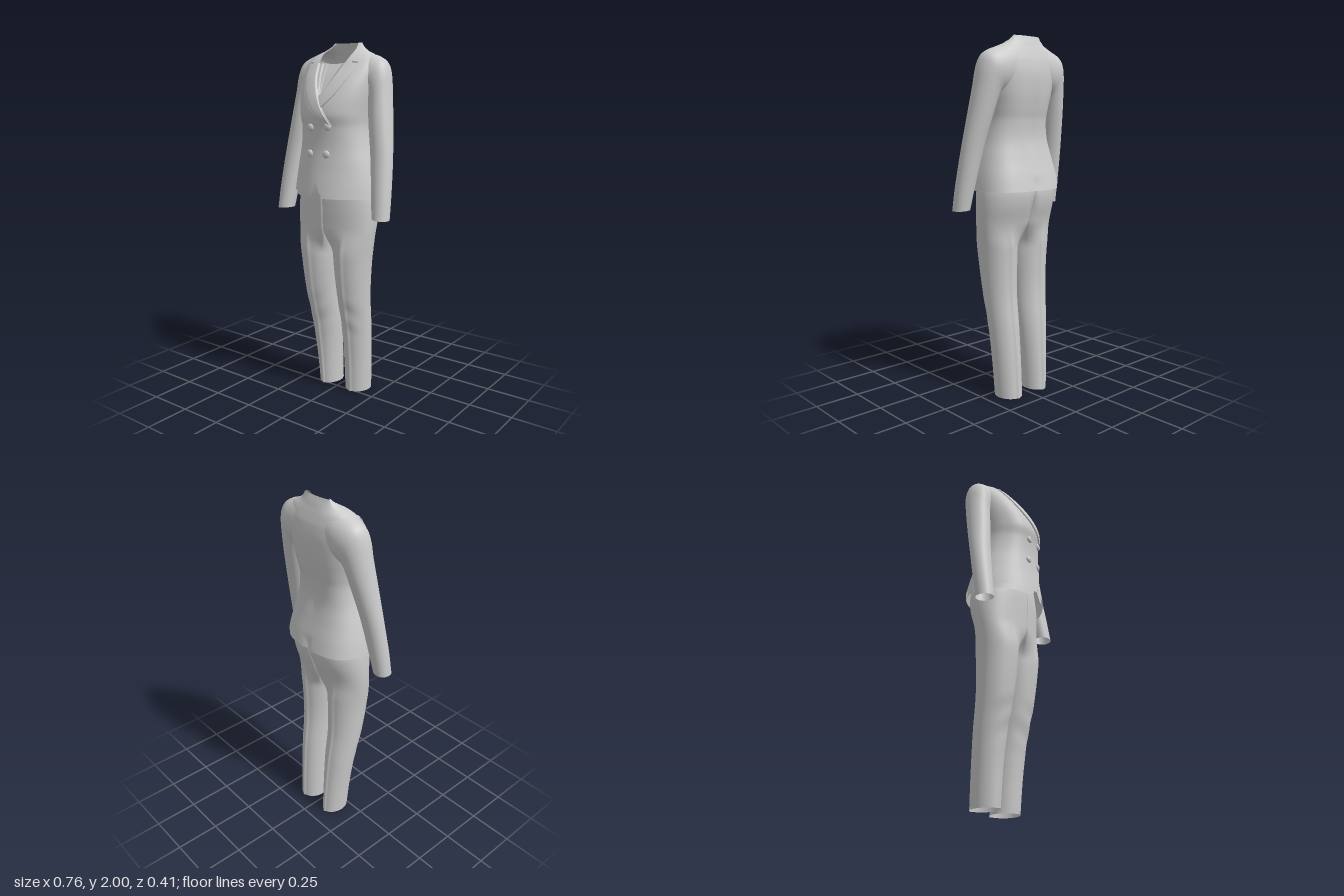
import * as THREE from 'three';

const mat = new THREE.MeshStandardMaterial({ color: 0xcccccc, roughness: 0.8, side: THREE.DoubleSide });
const { min, max, abs, sign, sin, cos, PI, exp } = Math;
const pw = (v, n) => sign(v) * abs(v) ** (2 / n);
const step = THREE.MathUtils.smoothstep;
const mix = THREE.MathUtils.lerp;

// Smooth lookup in a table of rows [key, a, b, ...]
function row(table, y) {
  const last = table.length - 1;
  const above = table.findIndex(r => r[0] > y);
  const i = above < 0 ? last - 1 : max(0, above - 1);
  const p = table[i], q = table[i + 1], h = q[0] - p[0];
  const t = max(0, min(1, (y - p[0]) / h));
  const slope = (k, c) => {
    const a = table[max(0, k - 1)], b = table[min(last, k + 1)];
    return (b[c] - a[c]) / (b[0] - a[0]);
  };
  return p.slice(1).map((v, k) => {
    const c = k + 1, t2 = t * t, t3 = t2 * t;
    return v * (2 * t3 - 3 * t2 + 1) + q[c] * (3 * t2 - 2 * t3)
      + h * (slope(i, c) * (t3 - 2 * t2 + t) + slope(i + 1, c) * (t3 - t2));
  });
}

// Grid surface from a rule f(u, v) -> [x, y, z]
function surface(name, nu, nv, f) {
  const pos = [], idx = [];
  for (let j = 0; j <= nv; j++) for (let i = 0; i <= nu; i++) pos.push(...f(i / nu, j / nv));
  for (let j = 0; j < nv; j++) for (let i = 0; i < nu; i++) {
    const a = j * (nu + 1) + i, b = a + nu + 1;
    idx.push(a, a + 1, b, a + 1, b + 1, b);
  }
  const g = new THREE.BufferGeometry();
  g.setAttribute('position', new THREE.Float32BufferAttribute(pos, 3));
  g.setIndex(idx);
  g.computeVertexNormals();
  const m = new THREE.Mesh(g, mat);
  m.name = name;
  return m;
}

// Torso: y, half width, front z, back z
const TORSO = [
  [1.165, 0.262, 0.205, -0.207], [1.25, 0.25, 0.193, -0.187], [1.35, 0.228, 0.178, -0.16],
  [1.45, 0.202, 0.168, -0.142], [1.55, 0.188, 0.172, -0.146], [1.62, 0.195, 0.184, -0.16],
  [1.7, 0.208, 0.165, -0.172], [1.8, 0.22, 0.112, -0.176], [1.87, 0.225, 0.06, -0.166],
  [1.91, 0.215, 0.026, -0.153], [1.932, 0.195, 0.002, -0.145], [1.95, 0.155, -0.022, -0.138],
  [1.965, 0.125, -0.045, -0.133], [1.98, 0.104, -0.068, -0.127], [2.0, 0.088, -0.092, -0.118]];
// Front edge of the panel: y, how far it crosses the centre line
const EDGE = [
  [1.165, -0.045], [1.2, -0.026], [1.25, 0.002], [1.32, 0.052], [1.4, 0.085], [1.5, 0.092], [1.56, 0.085],
  [1.67, 0.022], [1.8, -0.05], [1.9, -0.085], [1.95, -0.09], [2.0, -0.072]];
// Outer edge of the lapel
const LAPEL = [[1.56, 0.084], [1.6, 0.035], [1.64, -0.013], [1.72, -0.087], [1.81, -0.135], [1.89, -0.156]];
// Sleeve rings from cuff to neck: key, armpit x and y, outer x and y, back z, front z
const SLEEVE = [
  [0, 0.283, 1.072, 0.378, 1.065, 0.005, 0.105], [0.15, 0.265, 1.2, 0.373, 1.2, -0.02, 0.087],
  [0.32, 0.235, 1.4, 0.357, 1.4, -0.06, 0.057], [0.47, 0.203, 1.57, 0.33, 1.6, -0.104, 0.036],
  [0.58, 0.188, 1.65, 0.309, 1.75, -0.13, 0.02], [0.66, 0.183, 1.675, 0.296, 1.835, -0.142, 0.016],
  [0.74, 0.176, 1.69, 0.273, 1.893, -0.152, 0.014], [0.82, 0.165, 1.7, 0.23, 1.922, -0.16, 0.014],
  [0.91, 0.14, 1.71, 0.17, 1.942, -0.164, 0.014], [1, 0.1, 1.72, 0.115, 1.96, -0.162, 0.012]];
// Trouser legs: y, inner x, outer x, back z, front z
const HIPS = [[1.1, 0, 0.251, -0.175, 0.137], [1.18, 0, 0.246, -0.182, 0.138], [1.28, 0, 0.222, -0.155, 0.13]];
const LEGS = {
  right: [
    [0, 0.03, 0.156, -0.165, 0.015], [0.2, 0.024, 0.172, -0.155, 0.03], [0.4, 0.015, 0.192, -0.14, 0.056],
    [0.6, 0.012, 0.21, -0.12, 0.1], [0.8, 0.003, 0.226, -0.12, 0.127], [0.92, 0, 0.24, -0.128, 0.132],
    [1.0, 0, 0.248, -0.145, 0.133], ...HIPS],
  left: [
    [0, 0.03, 0.178, -0.165, 0.015], [0.2, 0.028, 0.187, -0.155, 0.03], [0.4, 0.025, 0.196, -0.14, 0.056],
    [0.6, 0.018, 0.206, -0.12, 0.1], [0.8, 0.006, 0.222, -0.12, 0.127], [0.92, 0, 0.237, -0.128, 0.132],
    [1.0, 0, 0.246, -0.145, 0.133], ...HIPS]
};

// Roundness of the torso outline: pointed in front at the hem, fuller at chest and back
const frontN = y => 1.85 + 0.3 * step(y, 1.25, 1.6) + 0.3 * step(y, 1.65, 1.8) - 0.25 * step(y, 1.9, 1.96);
const backN = y => 2.8 - 0.6 * step(y, 1.9, 1.97);
function frontZ(x, y) {
  const [hw, zf, zb] = row(TORSO, y), n = frontN(y);
  const k = min(0.98, abs(x) / hw);
  return (zf + zb) / 2 + (zf - zb) / 2 * (1 - k ** n) ** (1 / n);
}

// Half of the torso shell, from the front edge round to the centre back
function panel(name, s, y0, y1, off, lap) {
  return surface(name, 60, 90, (u, v) => {
    const y = y0 + (y1 - y0) * v;
    const [hw, zf, zb] = row(TORSO, y);
    const e = -row(EDGE, y)[0] / hw;
    const a0 = Math.asin(max(-1, min(1, sign(e) * abs(e) ** (frontN(y) / 2))));
    const a = a0 + (PI - a0) * u;
    const n = a < PI / 2 ? frontN(y) : backN(y);
    const grow = off + lap * (1 - step(a, 0.5, 1.2));
    const x = (hw + grow) * pw(sin(a), n);
    // Seam and hollow down the middle of the back
    const vent = 0.008 * exp(-((x / 0.01) ** 2)) * (1 - step(y, 1.2, 1.26));
    const spine = 0.006 * exp(-((x / 0.04) ** 2)) * step(y, 1.3, 1.5) * (1 - step(y, 1.6, 1.8));
    return [s * x, y, (zf + zb) / 2 + ((zf - zb) / 2 + grow) * pw(cos(a), n) + (a > 2 ? vent + spine : 0)];
  });
}

// Raised strip lying on the chest, between two x edges that depend on y
function strip(name, s, y0, y1, xa, xb, lift) {
  return surface(name, 14, 40, (u, v) => {
    const y = y0 + (y1 - y0) * v;
    const k = max(0, min(1, (u * 14 - 1) / 12));
    const x = xa(y) + (xb(y) - xa(y)) * k;
    return [s * x, y, frontZ(x, y) + (u === 0 || u === 1 ? 0 : lift)];
  });
}

// Sleeve tube that turns over the shoulder into the neck
function sleeve(s) {
  return surface(s > 0 ? 'leftSleeve' : 'rightSleeve', 44, 70, (u, v) => {
    const [xi, yi, xo, yo, zb, zf] = row(SLEEVE, v);
    const t = PI + u * 2 * PI;
    const k = (1 + cos(t)) / 2;
    return [s * (xi + (xo - xi) * k), yi + (yo - yi) * k, (zf + zb) / 2 + (zf - zb) / 2 * pw(sin(t), 2.15)];
  });
}

// Trouser leg that widens into half of the hips
function leg(name, s, table) {
  return surface(name, 96, 90, (u, v) => {
    const y = 1.28 * v;
    const [xi, xo, zb, zf] = row(table, y);
    const zc = (zf + zb) / 2, rz = (zf - zb) / 2;
    const hip = step(y, 0.84, 1.0);
    // Leg outline with pressed creases and soft knee folds
    const t = PI + u * 2 * PI, c = cos(t), d = sin(t), n = 1.92;
    const crease = 0.007 * exp(-((c / 0.12) ** 2));
    const fold = d > 0 ? 0.0025 * d * sin(y * 44 + c * 3) * exp(-(((y - 0.47) / 0.12) ** 2)) : 0;
    const legX = (xi + xo) / 2 + (xo - xi) / 2 * pw(c, n);
    const legZ = (rz - 0.004 + crease) * pw(d, n) + fold;
    // Half of the hip outline, closed by a flat wall on the centre plane
    const q = 1 / 8, wall = u < q || u > 1 - q;
    const f = max(0, min(1, (u - q) / (1 - 2 * q))) * PI;
    const hipX = wall ? 0 : xo * pw(sin(f), 2.2);
    const seat = d < 0 ? 0.016 * exp(-((hipX / 0.022) ** 2)) * (1 - step(y, 1.06, 1.18)) : 0;
    const hipZ = (wall ? -rz * (u < q ? u / q : (u - 1) / q) : -rz * pw(cos(f), 2.2)) + seat * min(1, u / q);
    return [s * mix(legX, hipX, hip), y, zc + mix(legZ, hipZ, hip)];
  });
}

// Small round part seated on the jacket front
function stud(name, x, y, rx, ry, rz, lift) {
  const m = new THREE.Mesh(new THREE.SphereGeometry(1, 20, 12), mat);
  m.name = name;
  m.scale.set(rx, ry, rz);
  m.position.set(x, y, frontZ(x, y) + lift);
  m.rotation.y = x * 2;
  return m;
}

export function createModel() {
  const suit = new THREE.Group();
  suit.name = 'trouserSuit';
  const edge = y => -row(EDGE, y)[0];

  // Trousers
  suit.add(leg('rightTrouserLeg', -1, LEGS.right), leg('leftTrouserLeg', 1, LEGS.left));

  for (const s of [-1, 1]) {
    const side = s > 0 ? 'left' : 'right', over = s > 0 ? 0 : 0.009;
    // Jacket halves, the right one lapping over the left
    suit.add(panel(side + 'JacketPanel', s, 1.197, 2.0, 0, over));
    suit.add(panel(side + 'LiningHem', s, 1.17, 1.24, -0.008, 0));
    suit.add(sleeve(s));
    // Lapel, collar stand and lapel notch
    suit.add(strip(side + 'Lapel', s, 1.56, 1.89, edge, y => -row(LAPEL, y)[0], 0.008 + over));
    suit.add(panel(side + 'Collar', s, 1.962, 2.0, 0.004, 0));
    suit.add(stud(side + 'LapelNotch', s * 0.143, 1.895, 0.018, 0.006, 0.008, 0.008));
    // Blouse neck facing
    suit.add(strip(side + 'BlouseFacing', s, 1.72, 1.885,
      y => 0.004 + (y - 1.72) * 0.16, y => 0.012 + (y - 1.72) * 0.34, -0.016));
  }

  // Blouse front, dipping at the neck
  suit.add(surface('blouse', 24, 30, (u, v) => {
    const x = (u - 0.5) * 0.2;
    const top = 1.885 + 1.5 * x * x;
    const y = 1.5 + (top - 1.5) * v;
    return [x, y, frontZ(x, y) - 0.024];
  }));

  // Double row of buttons
  for (const [x, y] of [[-0.045, 1.55], [-0.052, 1.41], [0.066, 1.556], [0.057, 1.41]])
    suit.add(stud('button', x, y, 0.021, 0.021, 0.011, 0.011));

  return suit;
}
